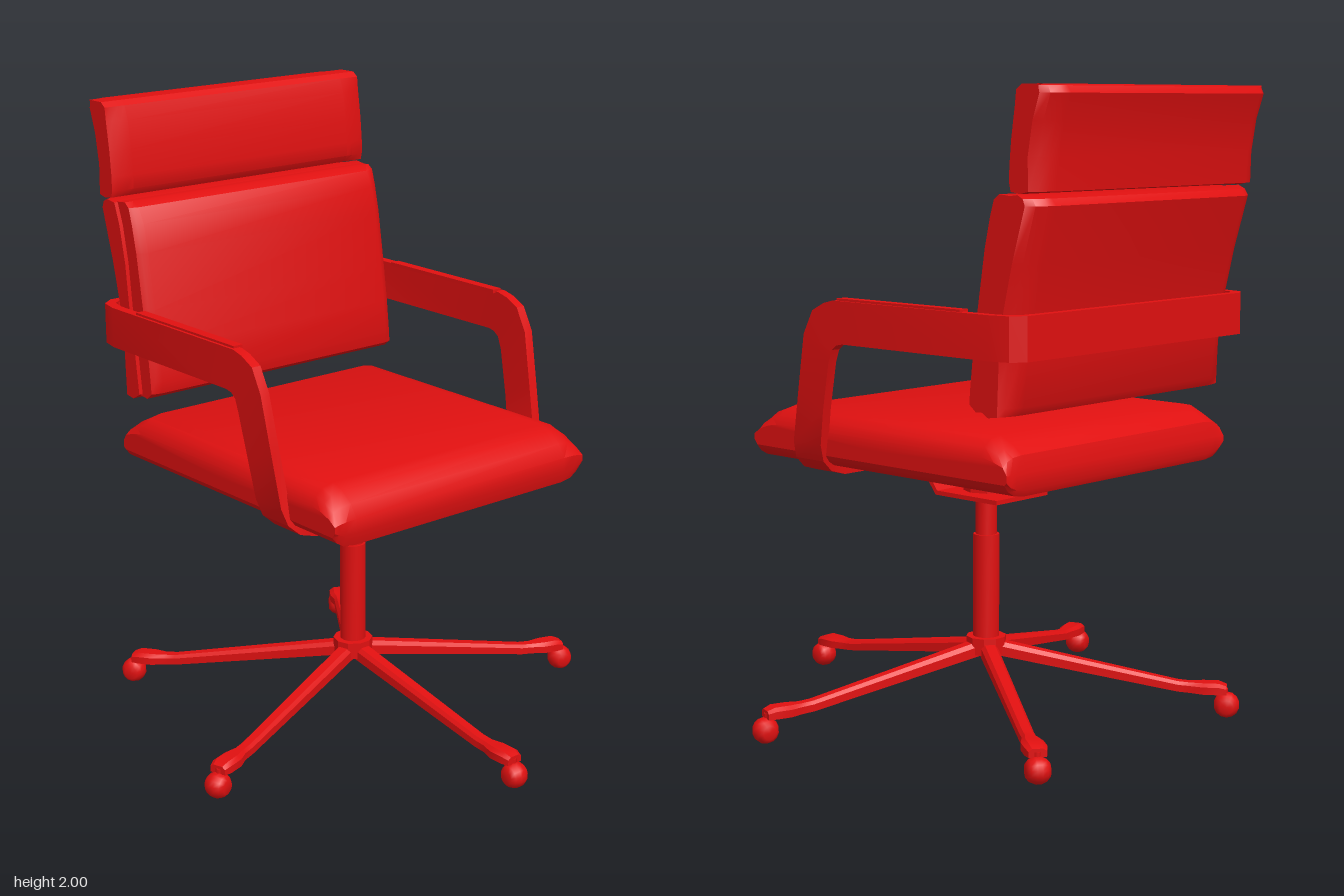
import * as THREE from 'three';
import { toCreasedNormals } from 'three/addons/utils/BufferGeometryUtils.js';

const red = new THREE.MeshStandardMaterial({ color: 0xe01010 });
const AXIS_X = -0.045; // column position

function mesh(name, geometry, x = 0, y = 0, z = 0) {
  const m = new THREE.Mesh(geometry, red);
  m.name = name;
  m.position.set(x, y, z);
  return m;
}

// Skin a row of equal-sized rings of [x, y, z]; closed rows join end to start, open rows are capped.
function loft(rings, closed = false, crease = 0.6) {
  const n = rings[0].length, tris = [];
  const rows = closed ? rings.length : rings.length - 1;
  for (let i = 0; i < rows; i++) {
    const a = rings[i], b = rings[(i + 1) % rings.length];
    for (let j = 0; j < n; j++) {
      const k = (j + 1) % n;
      tris.push([a[j], a[k], b[k]], [a[j], b[k], b[j]]);
    }
  }
  if (!closed) {
    const centre = (r) => [0, 1, 2].map((c) => r.reduce((s, p) => s + p[c], 0) / n);
    const first = rings[0], last = rings[rings.length - 1];
    const c0 = centre(first), c1 = centre(last);
    for (let j = 0; j < n; j++) {
      const k = (j + 1) % n;
      tris.push([c0, first[k], first[j]], [c1, last[j], last[k]]);
    }
  }
  // turn all faces outward
  let volume = 0;
  for (const [a, b, c] of tris) {
    volume += a[0] * (b[1] * c[2] - b[2] * c[1]) + a[1] * (b[2] * c[0] - b[0] * c[2]) + a[2] * (b[0] * c[1] - b[1] * c[0]);
  }
  if (volume < 0) tris.forEach((t) => t.reverse());
  const g = new THREE.BufferGeometry();
  g.setAttribute('position', new THREE.Float32BufferAttribute(tris.flat(2), 3));
  return toCreasedNormals(g, crease);
}

// Cushion: side profile swept across z, reshaped towards both ends (t goes 0 to 1).
function cushion(name, profile, stations, warp) {
  const half = stations.map(([z, t]) => [z, t]);
  const all = [...half.map(([z, t]) => [-z, t]).reverse(), ...half];
  return mesh(name, loft(all.map(([z, t]) => profile.map((p) => [...warp(p, t), z]))));
}

function createBackrest() {
  const g = new THREE.Group();
  g.name = 'backrest';
  // third number: how far the point moves in x at the ends
  const warp = ([x, y, s = 0], t) => [x + s * t, y];
  const ends = [[0.44, 0], [0.465, 0.15], [0.495, 0.55], [0.515, 1]];
  g.add(cushion('headrest', [
    [-0.72, 1.705, 0.04], [-0.728, 1.8, 0.05], [-0.745, 1.9, 0.05], [-0.77, 1.975, 0.05], [-0.755, 1.995, 0.04],
    [-0.72, 2], [-0.655, 2], [-0.635, 1.985], [-0.62, 1.94, -0.01], [-0.607, 1.85, -0.01], [-0.6, 1.77, -0.01],
    [-0.6, 1.725, -0.01], [-0.615, 1.703], [-0.65, 1.698],
  ], ends, warp));
  g.add(cushion('backPanel', [
    [-0.6, 1.09, 0.04], [-0.615, 1.23, 0.05], [-0.637, 1.36, 0.05], [-0.67, 1.5, 0.05], [-0.718, 1.665, 0.05],
    [-0.7, 1.685, 0.04], [-0.64, 1.695], [-0.6, 1.69], [-0.575, 1.62], [-0.55, 1.5], [-0.535, 1.36],
    [-0.51, 1.2], [-0.495, 1.08], [-0.53, 1.06], [-0.585, 1.065, 0.02],
  ], ends, warp));
  g.add(cushion('backCushion', [
    [-0.52, 1.075], [-0.54, 1.25], [-0.565, 1.42], [-0.6, 1.6], [-0.61, 1.69], [-0.56, 1.695], [-0.53, 1.68, -0.01],
    [-0.505, 1.63, -0.02], [-0.485, 1.54, -0.02], [-0.457, 1.36, -0.02], [-0.44, 1.24, -0.02], [-0.428, 1.13, -0.02],
    [-0.435, 1.09, -0.01], [-0.47, 1.07],
  ], [[0.47, 0], [0.49, 0.5], [0.502, 1]], warp));
  return g;
}

function createSeat() {
  const profile = [
    [-0.59, 0.83], [-0.6, 0.85], [-0.6, 0.9], [-0.585, 0.95], [-0.55, 0.975], [-0.5, 1], [0.38, 1], [0.42, 0.985],
    [0.46, 0.955], [0.487, 0.915], [0.487, 0.87], [0.475, 0.83],
  ];
  // ends are thinner, so the sides look chamfered
  return cushion('seat', profile, [[0.43, 0], [0.47, 0.15], [0.495, 0.5], [0.512, 1]], ([x, y], t) =>
    [x, y > 0.9 ? y - t * 0.55 * (y - 0.9) : y + t * 0.6 * (0.9 - y)]);
}

// One continuous band: behind the back, along the arms, down and under the seat.
function createArmBand() {
  const T = 0.016;
  // [upper/outer edge x, y], [lower/inner edge x, y], z, outward direction
  const half = [
    [[-0.65, 1.36], [-0.65, 1.23], 0, [-1, 0, 0]],
    [[-0.65, 1.36], [-0.65, 1.23], 0.495, [-1, 0, 0.3]],
    [[-0.625, 1.36], [-0.625, 1.23], 0.527, [-0.6, 0, 0.9]],
    [[-0.57, 1.36], [-0.57, 1.23], 0.54, [0, 0, 1]],
    [[0.07, 1.36], [0.03, 1.23], 0.54, [0, 0, 1]],
    [[0.11, 1.35], [0.055, 1.225], 0.54, [0, 0, 1]],
    [[0.16, 1.325], [0.075, 1.21], 0.54, [0, 0, 1]],
    [[0.2, 1.25], [0.09, 1.17], 0.54, [0, 0, 1]],
    [[0.235, 1.08], [0.125, 1.02], 0.532, [0, 0, 1]],
    [[0.27, 0.91], [0.147, 0.91], 0.523, [0, -0.1, 1]],
    [[0.28, 0.863], [0.155, 0.863], 0.507, [0, -0.5, 0.85]],
    [[0.287, 0.833], [0.162, 0.833], 0.473, [0, -0.85, 0.5]],
    [[0.29, 0.818], [0.165, 0.818], 0.42, [0, -1, 0.1]],
    [[0.29, 0.816], [0.165, 0.816], 0, [0, -1, 0]],
  ];
  const ring = ([a, b, z, n], side) => {
    const at = (p, s) => [p[0] + n[0] * T * s, p[1] + n[1] * T * s, side * (z + n[2] * T * s)];
    return [at(a, 1), at(b, 1), at(b, -1), at(a, -1)];
  };
  const other = half.slice(1, -1).reverse();
  return mesh('armBand', loft([...half.map((s) => ring(s, 1)), ...other.map((s) => ring(s, -1))], true, 0.5));
}

function createPedestal() {
  const g = new THREE.Group();
  g.name = 'pedestal';
  const cyl = (name, r, y0, y1, sides) =>
    g.add(mesh(name, toCreasedNormals(new THREE.CylinderGeometry(r, r, y1 - y0, sides), 0.6), AXIS_X, (y0 + y1) / 2, 0));
  cyl('tiltHousing', 0.073, 0.72, 0.835, 8);
  cyl('innerColumn', 0.034, 0.55, 0.73, 16);
  cyl('outerColumn', 0.042, 0.22, 0.58, 16);
  cyl('hub', 0.065, 0.19, 0.245, 10);

  // bent mounting plate under the seat
  const s = new THREE.Shape([
    [-0.2, 0.708], [0.065, 0.708], [0.16, 0.83], [0.14, 0.83], [0.058, 0.722], [-0.2, 0.722],
  ].map(([x, y]) => new THREE.Vector2(x, y)));
  g.add(mesh('mountPlate', new THREE.ExtrudeGeometry(s, { depth: 0.24, bevelEnabled: false }), 0, 0, -0.12));
  return g;
}

function createLeg() {
  const g = new THREE.Group();
  g.name = 'leg';
  // chamfered box sections: [radius, middle height, width, height]
  const rings = [
    [0.03, 0.21, 0.055, 0.045], [0.62, 0.1, 0.045, 0.032], [0.66, 0.097, 0.045, 0.032],
    [0.7, 0.097, 0.07, 0.034], [0.75, 0.097, 0.07, 0.034], [0.775, 0.092, 0.055, 0.026],
  ].map(([r, y, w, h]) => [
    [-0.5, -0.5], [0.5, -0.5], [0.5, 0.2], [0.3, 0.5], [-0.3, 0.5], [-0.5, 0.2],
  ].map(([u, v]) => [r, y + v * h, u * w]));
  g.add(mesh('spoke', loft(rings, false, 0.4)));

  // caster: stem and rounded wheel rolling along the spoke
  g.add(mesh('casterStem', new THREE.CylinderGeometry(0.014, 0.014, 0.05, 8), 0.765, 0.07, 0));
  const outline = [[0, -0.036], [0.022, -0.036], [0.034, -0.025], [0.041, -0.008], [0.041, 0.008], [0.034, 0.025], [0.022, 0.036], [0, 0.036]];
  const wheel = new THREE.LatheGeometry(outline.map(([r, h]) => new THREE.Vector2(r, h)), 14);
  wheel.rotateX(Math.PI / 2);
  g.add(mesh('casterWheel', wheel, 0.775, 0.041, 0));
  return g;
}

export function createModel() {
  const chair = new THREE.Group();
  chair.name = 'officeChair';
  chair.add(createBackrest(), createSeat(), createArmBand(), createPedestal());

  // thin pads on top of the arms
  for (const side of [1, -1]) {
    const pad = mesh('armPad', new THREE.BoxGeometry(0.51, 0.012, 0.034), -0.195, 1.361, side * 0.53);
    chair.add(pad);
  }

  // five-spoke base
  for (let i = 0; i < 5; i++) {
    const leg = createLeg();
    leg.position.x = AXIS_X;
    leg.rotation.y = (i * Math.PI * 2) / 5;
    chair.add(leg);
  }
  return chair;
}
